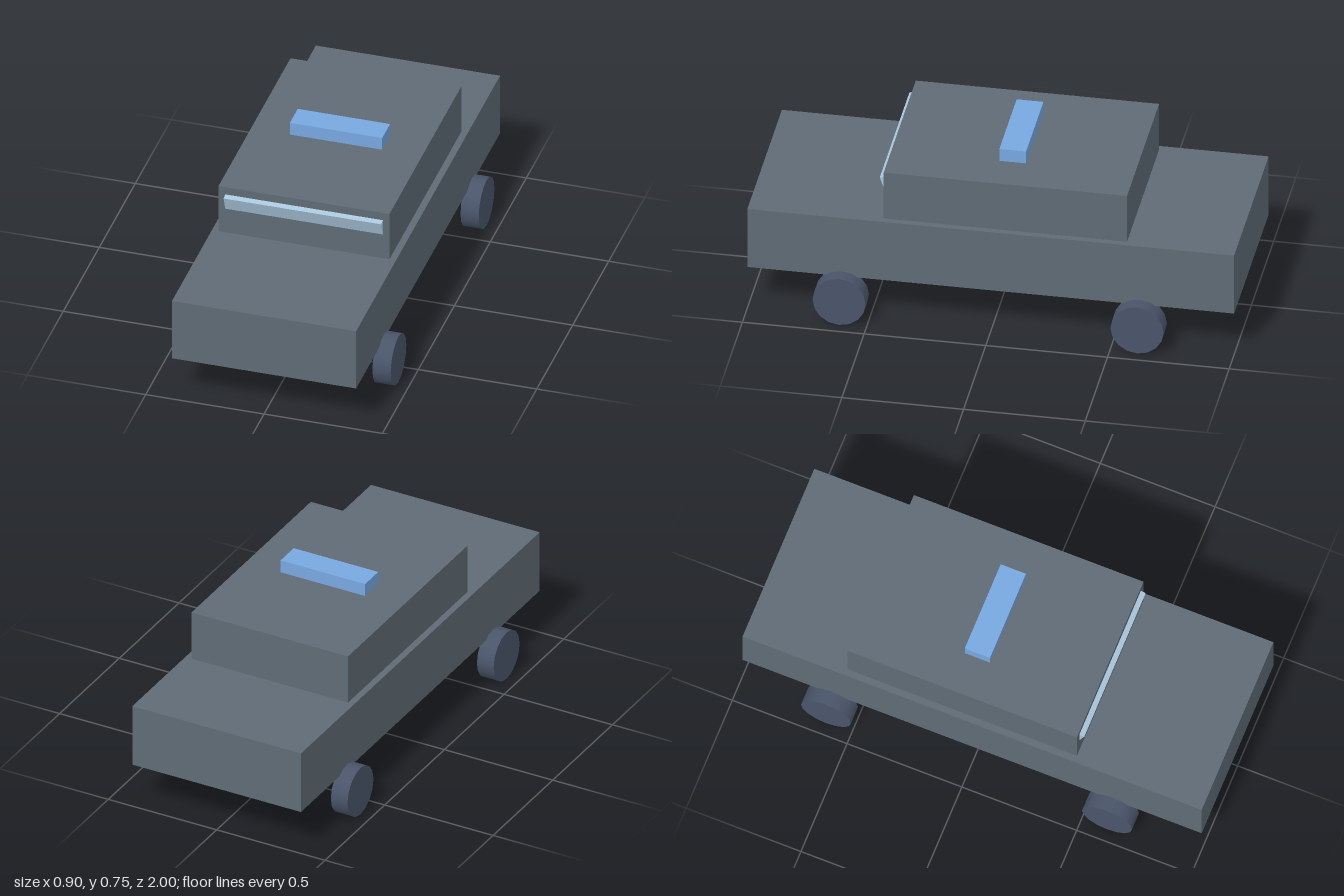
import * as THREE from 'three';

const paint = (color) => new THREE.MeshStandardMaterial({ color });

export function createModel() {
  const car = new THREE.Group();
  car.name = 'car';
  const bodyPaint = paint(0x5f6b75);
  const wheelPaint = paint(0x4a556a);
  const glassPaint = paint(0xa9c6dc);
  const lightPaint = paint(0x78a8e0);

  const addBox = (name, size, position, material) => {
    const box = new THREE.Mesh(new THREE.BoxGeometry(...size), material);
    box.name = name;
    box.position.set(...position);
    car.add(box);
    return box;
  };

  // Lower body, cabin and the light bar floating just above the roof
  addBox('body', [0.778, 0.275, 2], [0, 0.3325, 0], bodyPaint);
  addBox('cabin', [0.722, 0.217, 1], [0, 0.5785, -0.055], bodyPaint);
  addBox('lightBar', [0.39, 0.056, 0.11], [0, 0.72, -0.055], lightPaint);

  // Windshield: a thin slab leaning forward, its top edge poking out of the cabin
  const tilt = 0.33;
  const height = 0.15, depth = 0.04;
  const windshield = addBox('windshield', [0.666, height, depth], [0, 0, 0], glassPaint);
  windshield.rotation.x = tilt;
  const topFront = new THREE.Vector3(0, height / 2, depth / 2).applyEuler(windshield.rotation);
  windshield.position.set(0, 0.645, 0.466).sub(topFront);

  // Four wheels with their axes along x
  const radius = 0.109;
  const wheelShape = new THREE.CylinderGeometry(radius, radius, 0.077, 16).rotateZ(Math.PI / 2);
  for (const [side, x] of [['Left', 1], ['Right', -1]]) {
    for (const [end, z] of [['front', 1], ['rear', -1]]) {
      const wheel = new THREE.Mesh(wheelShape, wheelPaint);
      wheel.name = `${end}${side}Wheel`;
      wheel.position.set(x * 0.4115, radius, z * 0.612);
      car.add(wheel);
    }
  }
  return car;
}
